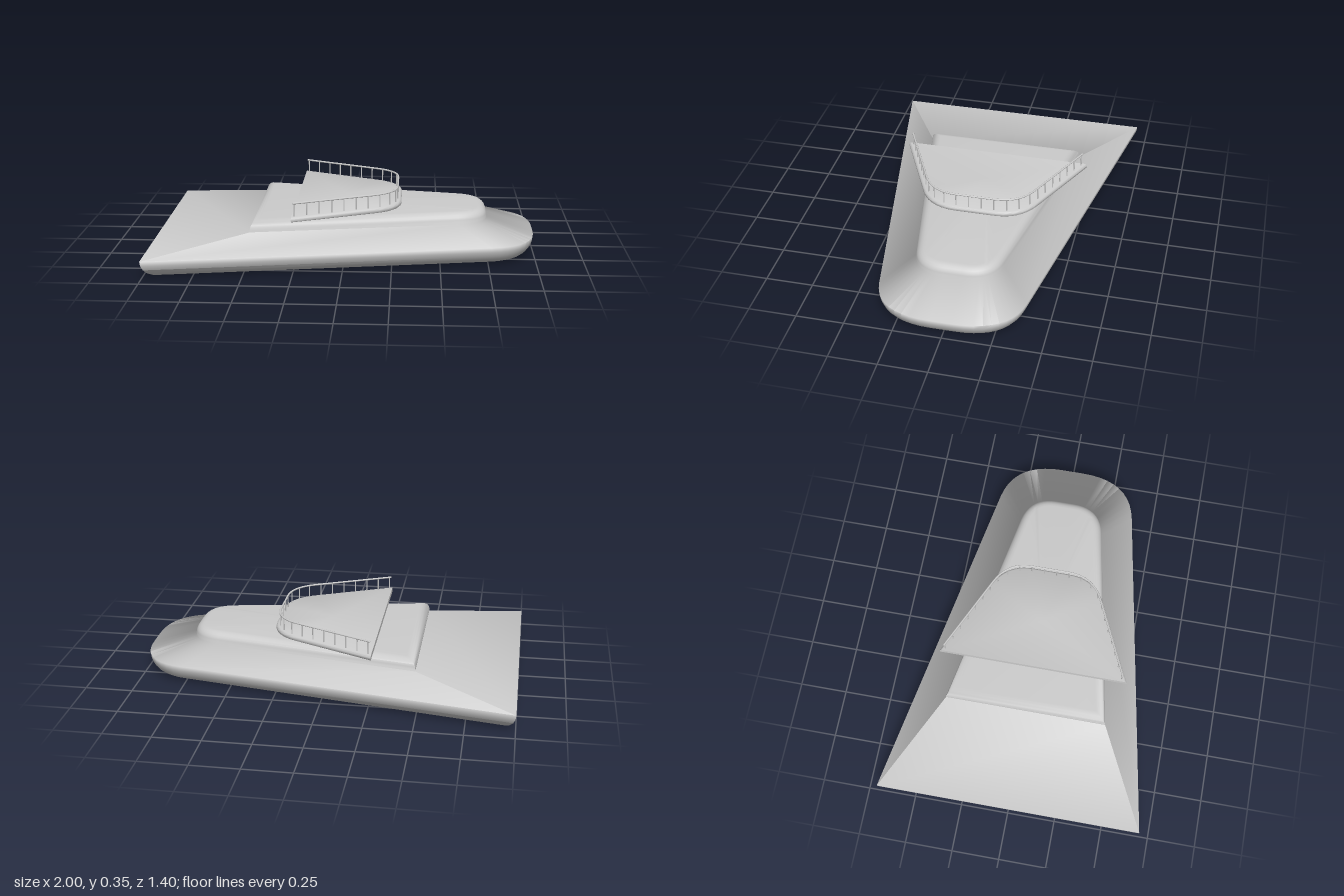
import * as THREE from 'three';
import { toCreasedNormals } from 'three/addons/utils/BufferGeometryUtils.js';

const material = new THREE.MeshStandardMaterial({ color: 0xcccccc });

// Plan outline as [x, z]: square wide stern, straight tapering sides, rounded bow.
// b = stern corner, s = end of the straight side, n = bow flat; all inset by d.
function outline({ b, s, n, sternInset = 1 }, d = 0, steps = 10) {
  const slope = (b[1] - s[1]) / (s[0] - b[0]);
  const side = d * Math.hypot(1, slope);
  const xb = b[0] + d * sternInset;
  const zAt = x => b[1] - slope * (x - b[0]) - side;
  const xs = s[0] - d * slope, xn = n[0] - d;
  const corner = new THREE.QuadraticBezierCurve(
    new THREE.Vector2(xs, zAt(xs)),
    new THREE.Vector2(xn, zAt(xn)),
    new THREE.Vector2(xn, n[1]));
  const half = [[xb, zAt(xb)], ...corner.getPoints(steps).map(p => [p.x, p.y])];
  return [...half, ...half.map(([x, z]) => [x, -z]).reverse()];
}

// Skin a stack of rings ({ y, points }) from bottom to top and cap both ends
function loft(rings, crease) {
  const pos = [], index = [], n = rings[0].points.length;
  rings.forEach(({ y, points }) => points.forEach(([x, z]) => pos.push(x, y, z)));
  for (let r = 0; r < rings.length - 1; r++) {
    for (let i = 0; i < n; i++) {
      const a = r * n + i, b = r * n + (i + 1) % n;
      index.push(a, b, b + n, a, b + n, a + n);
    }
  }
  for (const [r, up] of [[0, false], [rings.length - 1, true]]) {
    const centre = pos.length / 3;
    pos.push(0, rings[r].y, 0);
    for (let i = 0; i < n; i++) {
      const a = r * n + i, b = r * n + (i + 1) % n;
      index.push(centre, up ? a : b, up ? b : a);
    }
  }
  const g = new THREE.BufferGeometry();
  g.setAttribute('position', new THREE.Float32BufferAttribute(pos, 3));
  g.setIndex(index);
  return toCreasedNormals(g, crease);
}

function addMesh(parent, name, geometry) {
  const mesh = new THREE.Mesh(geometry, material);
  mesh.name = name;
  parent.add(mesh);
  return mesh;
}

export function createModel() {
  const model = new THREE.Group();
  model.name = 'ship';

  // Hull with rounded bilge, sloping deck and raised rounded deckhouse
  const hullPlan = { b: [-1, 0.7], s: [0.77, 0.38], n: [1, 0.06] };
  const housePlan = { b: [-0.48, 0.43], s: [0.6, 0.23], n: [0.75, 0.05] };
  const rings = [];
  const steps = 6;
  for (let i = 0; i <= steps; i++) {
    const a = (i / steps) * Math.PI / 2;
    rings.push({ y: 0.1 * (1 - Math.cos(a)), points: outline(hullPlan, 0.1 * (1 - Math.sin(a))) });
  }
  rings.push({ y: 0.18, points: outline(housePlan) });
  for (let i = 0; i <= steps; i++) {
    const a = (i / steps) * Math.PI / 2;
    rings.push({ y: 0.19 + 0.05 * Math.sin(a), points: outline(housePlan, 0.05 * (1 - Math.cos(a))) });
  }
  addMesh(model, 'hullAndDeckhouse', loft(rings, 1.4));

  // Upper platform slab with softened upper edge
  const slabPlan = { b: [-0.26, 0.505], s: [0.16, 0.31], n: [0.295, 0.1], sternInset: 0 };
  const slab = [[0.257, 0.004], [0.261, 0], [0.273, 0], [0.279, 0.003], [0.283, 0.01]]
    .map(([y, d]) => ({ y, points: outline(slabPlan, d) }));
  addMesh(model, 'platform', loft(slab, 0.9));

  // Railing around the platform, open at the stern
  const railing = new THREE.Group();
  railing.name = 'railing';
  model.add(railing);
  const railPlan = { ...slabPlan, b: [-0.25, 0.5], sternInset: 0 };
  const path = new THREE.CurvePath();
  const pts = outline(railPlan, 0.02).map(([x, z]) => new THREE.Vector3(x, 0.35, z));
  for (let i = 0; i < pts.length - 1; i++) path.add(new THREE.LineCurve3(pts[i], pts[i + 1]));
  addMesh(railing, 'handrail', new THREE.TubeGeometry(path, 80, 0.005, 8, false));
  for (const end of [pts[0], pts[pts.length - 1]]) {
    addMesh(railing, 'handrailEnd', new THREE.SphereGeometry(0.005, 8, 6)).position.copy(end);
  }

  // Evenly spaced railing posts
  const post = new THREE.CylinderGeometry(0.0035, 0.0035, 0.07, 8);
  const count = 24;
  for (let i = 0; i < count; i++) {
    const p = path.getPointAt(0.004 + 0.992 * i / (count - 1));
    addMesh(railing, 'railPost', post).position.set(p.x, 0.315, p.z);
  }
  return model;
}
